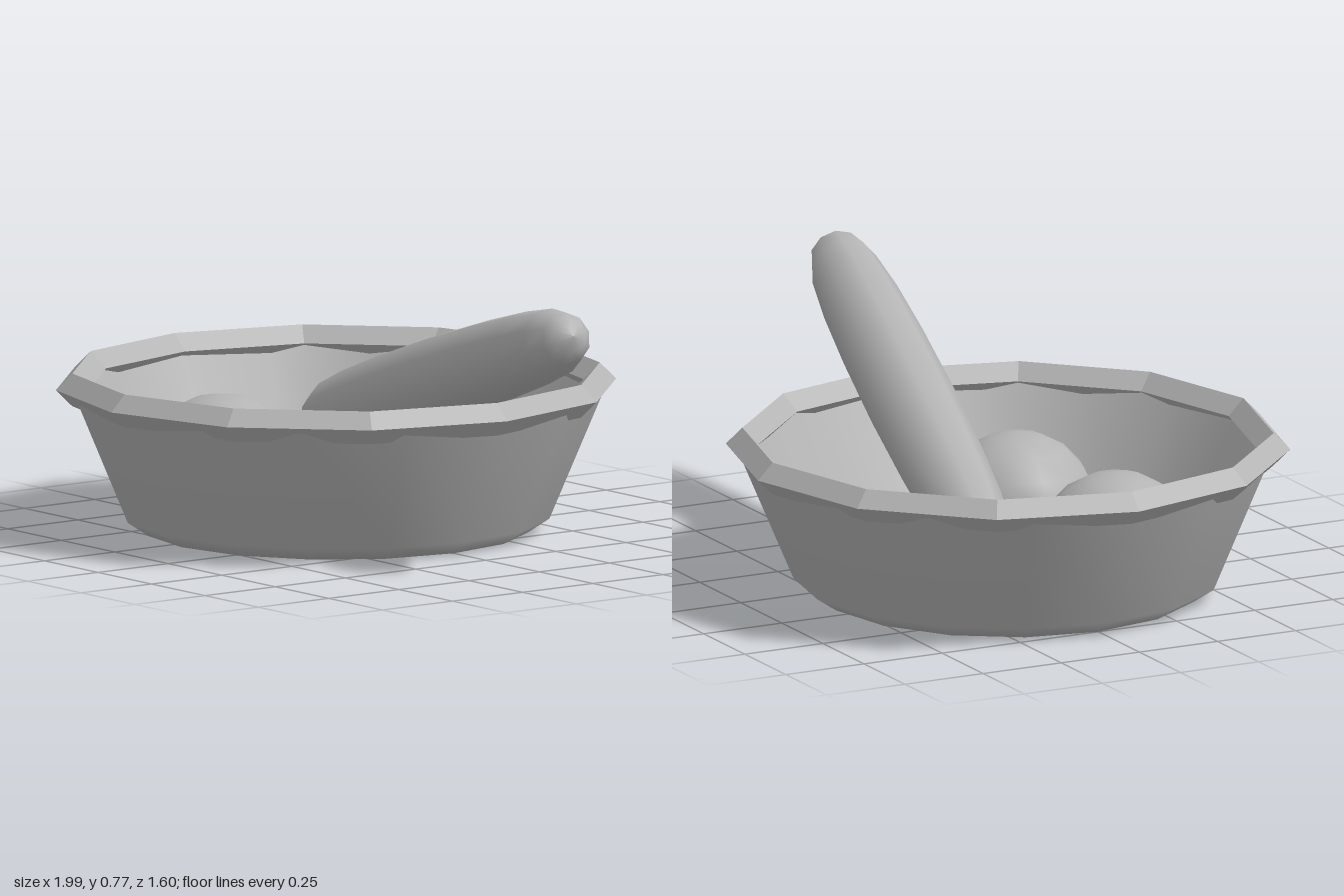
import * as THREE from 'three';

const grey = new THREE.MeshStandardMaterial({ color: 0xb4b4b4 });
grey.name = 'stone grey';

const BOWL_X = -0.2;

function add(group, name, geometry, x = 0, y = 0, z = 0) {
  const mesh = new THREE.Mesh(geometry, grey);
  mesh.name = name;
  mesh.position.set(x, y, z);
  group.add(mesh);
  return mesh;
}

function lathe(points, sides) {
  return new THREE.LatheGeometry(points.map(([r, y]) => new THREE.Vector2(r, y)), sides);
}

export function createModel() {
  const group = new THREE.Group();
  group.name = 'mortarAndPestle';

  // Bowl: smooth 16-sided outer and inner walls with a flat floor
  add(group, 'bowlOutside', lathe([[0, 0], [0.55, 0], [0.61, 0.04], [0.765, 0.41]], 16), BOWL_X);
  add(group, 'bowlInside', lathe([[0.725, 0.41], [0.565, 0.105]], 16), BOWL_X);
  const floor = new THREE.CircleGeometry(0.567, 16).rotateX(-Math.PI / 2);
  add(group, 'bowlFloor', floor, BOWL_X, 0.105, 0);

  // Rim: faceted ring with a diamond cross-section
  const rim = new THREE.TorusGeometry(0.753, 0.047, 4, 12).rotateX(Math.PI / 2).toNonIndexed();
  rim.computeVertexNormals();
  add(group, 'rim', rim, BOWL_X, 0.412, 0);

  // Two round lumps, sunk into the floor
  for (const [x, z, r, turn] of [[-0.46, 0.21, 0.242, 0.2], [0.08, 0.175, 0.235, 0.45]]) {
    const ball = new THREE.SphereGeometry(r, 12, 6, 0, Math.PI * 2, 0, Math.PI * 0.625);
    add(group, 'ball', ball, x, 0.13, z).rotation.y = turn;
  }

  // Pestle: rounded rod, slightly thicker in the middle, leaning over the rim
  const start = new THREE.Vector3(-0.68, 0.22, -0.3);
  const end = new THREE.Vector3(0.99, 0.715, 0.06);
  const axis = end.clone().sub(start);
  const length = axis.length();
  const half = [[0, 0], [0.045, 0.008], [0.075, 0.03], [0.098, 0.08], [0.113, 0.18], [0.122, 0.32]];
  const profile = [
    ...half.map(([r, t]) => [r, t * length]),
    [0.126, 0.5 * length],
    ...half.slice().reverse().map(([r, t]) => [r, (1 - t) * length]),
  ];
  const pestle = add(group, 'pestle', lathe(profile, 10), start.x, start.y, start.z);
  pestle.quaternion.setFromUnitVectors(new THREE.Vector3(0, 1, 0), axis.normalize());

  return group;
}
